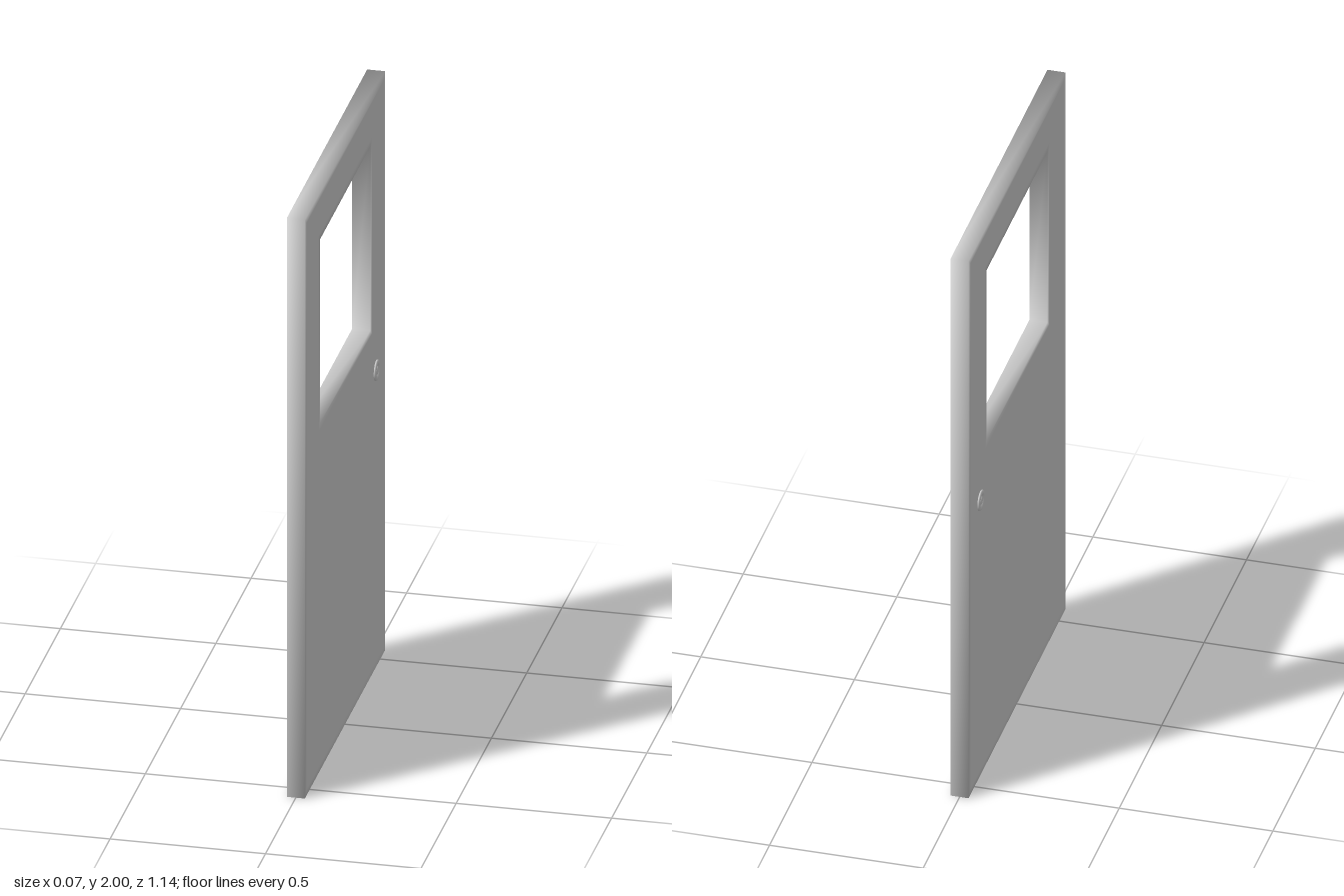
import * as THREE from 'three';
import { mergeVertices } from 'three/addons/utils/BufferGeometryUtils.js';

const material = new THREE.MeshStandardMaterial({ color: 0xcccccc });
const THICKNESS = 0.06;

// Rectangle traced into a Shape or Path
function rectangle(path, x0, y0, x1, y1) {
  path.moveTo(x0, y0);
  path.lineTo(x1, y0);
  path.lineTo(x1, y1);
  path.lineTo(x0, y1);
  path.closePath();
  return path;
}

// Slab with a window opening; a shallow bevel with shared normals softens the edges
function createPanel() {
  const outline = rectangle(new THREE.Shape(), -0.57, 0, 0.57, 2);
  outline.holes.push(rectangle(new THREE.Path(), -0.357, 1.2, 0.357, 1.835));
  const bevel = 0.001;
  let geometry = new THREE.ExtrudeGeometry(outline, {
    depth: THICKNESS - 2 * bevel,
    bevelEnabled: true,
    bevelThickness: bevel,
    bevelSize: 0.022,
    bevelOffset: -0.022,
    bevelSegments: 1,
  });
  geometry.translate(0, 0, bevel - THICKNESS / 2);
  geometry.rotateY(Math.PI / 2);
  geometry.deleteAttribute('uv');
  geometry.deleteAttribute('normal');
  geometry = mergeVertices(geometry, 1e-5);
  geometry.computeVertexNormals();
  const panel = new THREE.Mesh(geometry, material);
  panel.name = 'doorPanel';
  return panel;
}

// Round lock: rim, recessed ring and central plug, turned about its axis
function createLock(side) {
  const profile = [
    [0.034, -0.002], [0.034, 0.003], [0.032, 0.0055], [0.027, 0.007],
    [0.022, 0.0065], [0.019, 0.004], [0.016, 0.002], [0.014, 0.002],
    [0.013, 0.005], [0.01, 0.006], [0, 0.006],
  ].map(([r, h]) => new THREE.Vector2(r, h));
  const lock = new THREE.Mesh(new THREE.LatheGeometry(profile, 32), material);
  lock.rotation.z = -side * Math.PI / 2;
  lock.position.set(side * THICKNESS / 2, 1.027, -0.436);
  lock.name = side > 0 ? 'lockLeft' : 'lockRight';
  return lock;
}

export function createModel() {
  const door = new THREE.Group();
  door.name = 'door';
  door.add(createPanel(), createLock(1), createLock(-1));
  return door;
}
